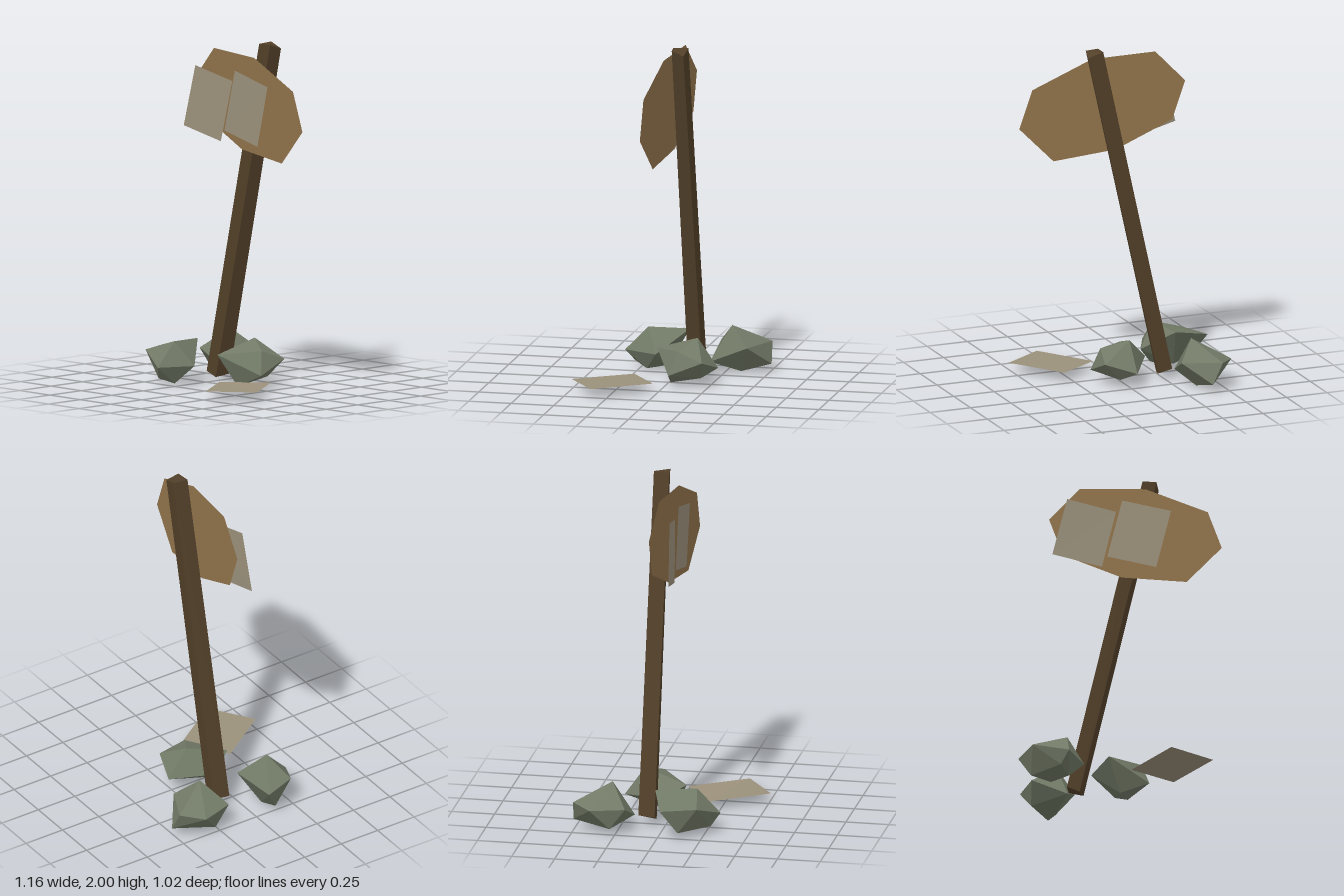
import * as THREE from 'three';
import { ConvexGeometry } from 'three/addons/geometries/ConvexGeometry.js';

const material = (name, color, side = THREE.FrontSide) => {
  const m = new THREE.MeshStandardMaterial({ color, side, flatShading: true });
  m.name = name;
  return m;
};

// Solid hull from a few corner points
const hull = (points) => new ConvexGeometry(points.map((p) => new THREE.Vector3(...p)));

// Thin flat sheet: a fan over an outline given anticlockwise from its front
function sheet(points) {
  const index = [];
  for (let i = 1; i < points.length - 1; i++) index.push(0, i, i + 1);
  const g = new THREE.BufferGeometry();
  g.setAttribute('position', new THREE.Float32BufferAttribute(points.flat(), 3));
  g.setIndex(index);
  g.computeVertexNormals();
  return g;
}

export function createModel() {
  const postWood = material('dark post wood', 0x524029);
  const boardWood = material('board wood', 0x92744c, THREE.DoubleSide);
  const paper = material('aged paper', 0x9b917b, THREE.DoubleSide);
  const stone = material('mossy stone', 0x727a67);

  const model = new THREE.Group();
  model.name = 'signpost';
  const add = (name, geometry, mat) => {
    const mesh = new THREE.Mesh(geometry, mat);
    mesh.name = name;
    model.add(mesh);
  };

  // Leaning square post
  add('post', hull([
    [-0.303, 0.06, -0.056], [-0.23, 0.03, -0.058], [-0.205, 0.045, -0.145], [-0.29, 0.065, -0.153],
    [0.13, 1.995, -0.056], [0.21, 1.995, -0.066], [0.225, 1.97, -0.138], [0.135, 2.0, -0.147],
  ]), postWood);

  // Eight-sided board, slightly turned away from the post
  const outline = [
    [-0.405, 1.75], [-0.325, 1.525], [0.01, 1.375], [0.38, 1.335],
    [0.58, 1.54], [0.5, 1.765], [0.145, 1.92], [-0.23, 1.935],
  ];
  add('board', sheet(outline.map(([x, y]) => [x, y, -0.03 + 0.11 * x + 0.03 * (y - 1.55)])), boardWood);

  // Two notices on the board and one fallen to the ground
  add('leftNotice', sheet([
    [-0.39, 1.48, 0.042], [-0.105, 1.415, 0.022], [-0.025, 1.77, 0.008], [-0.305, 1.835, 0.032],
  ]), paper);
  add('rightNotice', sheet([
    [-0.075, 1.48, 0.022], [0.205, 1.415, 0.03], [0.29, 1.77, 0.032], [0.01, 1.835, 0.022],
  ]), paper);
  add('fallenNotice', sheet([
    [0.057, 0.058, 0.19], [0.275, 0.058, 0.508], [0.52, 0.06, 0.337], [0.305, 0.062, 0.022],
  ]), paper);

  // Faceted rocks around the foot
  const rocks = {
    backRock: [
      [-0.35, 0.28, -0.29], [-0.245, 0.17, -0.4], [-0.295, 0.07, -0.172], [-0.5, 0.16, -0.19],
      [-0.56, 0.16, -0.385], [-0.46, 0.175, -0.5], [-0.395, 0.055, -0.51], [-0.36, 0.01, -0.34],
      [-0.5, 0.04, -0.28],
    ],
    frontRock: [
      [-0.31, 0.255, 0.195], [-0.585, 0.19, 0.03], [-0.36, 0.245, -0.04], [-0.21, 0.115, 0.13],
      [-0.305, 0.115, 0.33], [-0.51, 0.19, 0.23], [-0.515, 0.045, 0.12], [-0.3, 0.012, 0.2],
      [-0.4, 0.015, 0.1], [-0.35, 0.045, 0.28],
    ],
    footRock: [
      [-0.02, 0.27, -0.165], [-0.02, 0.1, -0.285], [0.157, 0.16, -0.23], [0.168, 0.08, -0.035],
      [0.125, 0.215, -0.08], [-0.068, 0.19, 0.085], [-0.165, 0.13, -0.05], [0, 0.005, -0.01],
      [0.05, 0.05, -0.2],
    ],
  };
  for (const [name, points] of Object.entries(rocks)) add(name, hull(points), stone);

  return model;
}
